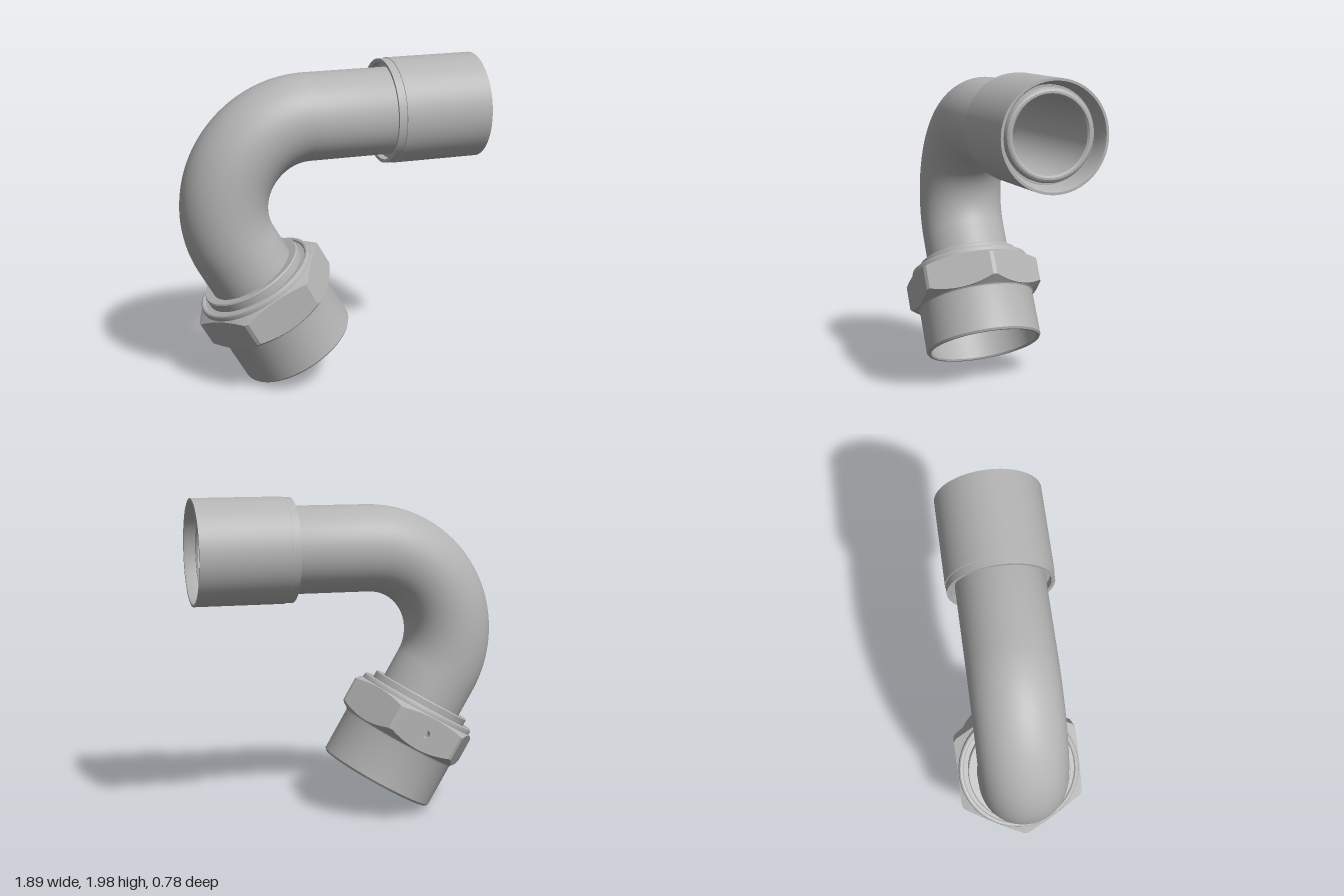
import * as THREE from 'three';
import { toCreasedNormals } from 'three/addons/utils/BufferGeometryUtils.js';

const BEND = new THREE.Vector3(-0.15, 1.145, 0); // centre of the elbow
const R = 0.53, OUTER = 0.27, BORE = 0.227;

export function createModel() {
  const steel = new THREE.MeshStandardMaterial({ color: 0xb4b4b4, side: THREE.DoubleSide });
  steel.name = 'steel';
  const model = new THREE.Group();
  model.name = 'elbowFitting';

  const add = (parent, name, geometry) => {
    const mesh = new THREE.Mesh(geometry, steel);
    mesh.name = name;
    parent.add(mesh);
    return mesh;
  };
  // Turned part from [radius, distance along axis] pairs, with crisp corners
  const turned = (parent, name, pts, segments = 80) => add(parent, name, toCreasedNormals(
    new THREE.LatheGeometry(pts.map(([r, y]) => new THREE.Vector2(r, y)), segments), 0.5));

  // Elbow: 120 degree bend, outer skin and bore
  for (const [name, r] of [['elbow', OUTER], ['elbowBore', BORE]]) {
    const g = new THREE.TorusGeometry(R, r, 64, 64, Math.PI * 2 / 3);
    g.rotateZ(Math.PI / 2);
    add(model, name, g).position.copy(BEND);
  }

  // Horizontal run: local y points along +x
  const run = new THREE.Group();
  run.name = 'horizontalRun';
  run.position.set(0, BEND.y + R, 0);
  run.rotation.z = -Math.PI / 2;
  model.add(run);
  turned(run, 'straightPipe', [[OUTER, BEND.x], [OUTER, 0.86], [0.262, 0.875], [0.25, 0.882],
    [0.238, 0.882], [BORE, 0.87], [BORE, BEND.x]]);
  turned(run, 'sleeve', [[OUTER, 0.375], [0.298, 0.375], [0.302, 0.337], [0.323, 0.335], [0.323, 0.385],
    [0.327, 0.387], [0.327, 0.945], [0.312, 0.945], [0.306, 0.935], [0.292, 0.86], [0.285, 0.83], [OUTER, 0.83]]);

  // Slanted end: local y runs from the end of the bend out to the nut mouth
  const end = new THREE.Group();
  end.name = 'nutEnd';
  end.position.set(BEND.x - R * Math.cos(Math.PI / 6), BEND.y - R * 0.5, 0);
  end.rotation.z = Math.PI * 7 / 6;
  model.add(end);
  turned(end, 'slantedPipe', [[OUTER, 0], [OUTER, 0.25]]);
  turned(end, 'slantedBore', [[BORE, 0], [BORE, 0.33]]);
  turned(end, 'collar', [[OUTER, 0.185], [0.32, 0.18], [0.326, 0.187], [0.326, 0.235]]);
  turned(end, 'retainingBead', [[0.326, 0.235], [0.352, 0.235], [0.36, 0.226], [0.372, 0.224],
    [0.381, 0.23], [0.385, 0.242], [0.385, 0.258]]);
  turned(end, 'nutBody', [[0.385, 0.48], [0.378, 0.487], [0.375, 0.5], [0.375, 0.772], [0.366, 0.785],
    [0.352, 0.785], [0.345, 0.775], [0.345, 0.525], [0.318, 0.515], [0.318, 0.48], [BORE, 0.33]]);

  // Hexagon: six flats with curved chamfer edges
  const A = 0.39, CORNER = 0.443, STEPS = 14;
  const half = Math.sqrt(CORNER * CORNER - A * A);
  const topAt = (u) => 0.262 + (Math.hypot(A, u) - A) * 0.45;
  const lowAt = (u) => 0.478 - (Math.hypot(A, u) - A) * 0.7;
  const us = Array.from({ length: STEPS + 1 }, (_, i) => -half + 2 * half * i / STEPS);
  const rim = [];
  for (let f = 0; f < 6; f++) {
    const phi = Math.PI / 2 + f * Math.PI / 3;
    const shape = new THREE.Shape([
      ...us.map((u) => new THREE.Vector2(u, topAt(u))),
      ...[...us].reverse().map((u) => new THREE.Vector2(u, lowAt(u))),
    ]);
    if (f === 3) shape.holes.push(new THREE.Path().absarc(0, 0.37, 0.025, 0, Math.PI * 2, true));
    const flat = new THREE.ShapeGeometry(shape, 16);
    flat.translate(0, 0, A);
    flat.rotateY(Math.PI / 2 - phi);
    add(end, 'hexFlat', flat);
    for (const u of us) {
      rim.push({
        x: A * Math.cos(phi) - u * Math.sin(phi), z: A * Math.sin(phi) + u * Math.cos(phi),
        top: topAt(u), low: lowAt(u), k: 0.385 / Math.hypot(A, u),
      });
    }
  }

  // Chamfers above and below the flats, and narrow strips on the six corners
  const pos = [];
  const quad = (a, b, c, d) => pos.push(...a, ...b, ...c, ...a, ...c, ...d);
  rim.forEach((p, i) => {
    const q = rim[(i + 1) % rim.length];
    const inner = (v, y) => [v.x * v.k, y, v.z * v.k];
    const top = (v) => [v.x, v.top, v.z];
    const low = (v) => [v.x, v.low, v.z];
    quad(inner(p, 0.258), inner(q, 0.258), top(q), top(p));
    quad(low(p), low(q), inner(q, 0.48), inner(p, 0.48));
    if (i % (STEPS + 1) === STEPS) quad(top(p), top(q), low(q), low(p));
  });
  const chamfer = new THREE.BufferGeometry();
  chamfer.setAttribute('position', new THREE.Float32BufferAttribute(pos, 3));
  add(end, 'hexChamfers', toCreasedNormals(chamfer, 0.3));

  // Small blind hole in the rear flat
  const hole = turned(end, 'ventHole', [[0, 0], [0.025, 0], [0.025, 0.05]], 24);
  hole.rotation.x = -Math.PI / 2;
  hole.position.set(0, 0.37, -A + 0.05);

  return model;
}
